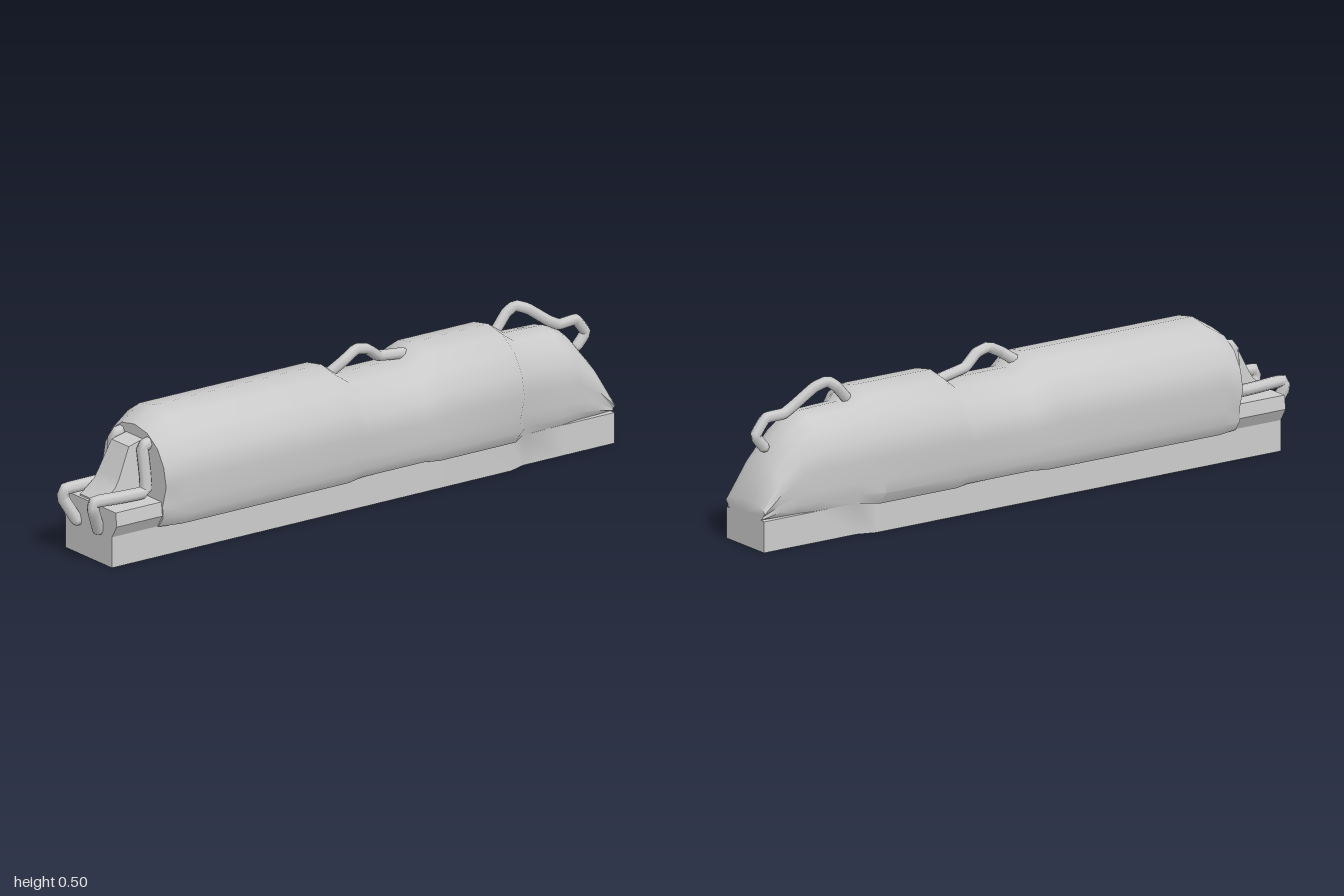
import * as THREE from 'three';
import { mergeVertices, toCreasedNormals } from 'three/addons/utils/BufferGeometryUtils.js';

const material = new THREE.MeshStandardMaterial({ color: 0xcccccc, side: THREE.DoubleSide });

// Skins mirrored half sections. Each section is { z, half: [[x, y], ...] }, bottom to top,
// and sections run from front to back.
function loft(sections, crease) {
  const rings = sections.map(({ z, half }) => {
    const mirrored = half.filter(([x]) => x > 0).reverse().map(([x, y]) => [-x, y]);
    return [...half, ...mirrored].map(([x, y]) => [x, y, z]);
  });
  const n = rings[0].length;
  const positions = rings.flat(2);
  const index = [];
  for (let i = 0; i < rings.length - 1; i++) {
    for (let j = 0; j < n; j++) {
      const a = i * n + j, b = i * n + (j + 1) % n;
      index.push(a, a + n, b, b, a + n, b + n);
    }
  }
  // End caps
  [0, rings.length - 1].forEach((r) => {
    const centre = positions.length / 3;
    const y = rings[r].reduce((sum, p) => sum + p[1], 0) / n;
    positions.push(0, y, rings[r][0][2]);
    for (let j = 0; j < n; j++) {
      const a = r * n + j, b = r * n + (j + 1) % n;
      if (r === 0) index.push(centre, a, b);
      else index.push(centre, b, a);
    }
  });
  const geometry = new THREE.BufferGeometry();
  geometry.setAttribute('position', new THREE.Float32BufferAttribute(positions, 3));
  geometry.setIndex(index);
  return toCreasedNormals(mergeVertices(geometry), crease);
}

function addMesh(parent, name, geometry) {
  const mesh = new THREE.Mesh(geometry, material);
  mesh.name = name;
  parent.add(mesh);
  return mesh;
}

// A bent pipe with closed ends
function addPipe(parent, name, points, radius) {
  const group = new THREE.Group();
  group.name = name;
  const path = points.map((p) => new THREE.Vector3(...p));
  const curve = new THREE.CatmullRomCurve3(path, false, 'catmullrom', 0.15);
  addMesh(group, 'pipe', new THREE.TubeGeometry(curve, points.length * 5, radius, 7));
  [path[0], path[path.length - 1]].forEach((p) => {
    addMesh(group, 'pipeEnd', new THREE.SphereGeometry(radius, 7, 4)).position.copy(p);
  });
  parent.add(group);
}

// Body outline above the keel: fraction of half width, fraction of height
const outline = [
  [0.76, 0], [0.905, 0.115], [0.885, 0.235], [1, 0.46], [0.92, 0.665],
  [0.72, 0.84], [0.395, 0.96], [0, 1],
];

function bodySection([z, width, top, keel]) {
  const upper = outline.map(([u, v]) => [u * width, 0.1 + v * (top - 0.1)]);
  return { z, half: [[keel, 0], [keel, 0.1], ...upper] };
}

export function createModel() {
  const model = new THREE.Group();
  model.name = 'segmentedBody';

  // Long body with two swollen segments and a sloping tail: z, half width, top, keel half width
  const body = [
    [0.765, 0.165, 0.4, 0.12],
    [0.69, 0.19, 0.447, 0.12],
    [0.05, 0.19, 0.447, 0.12],
    [-0.01, 0.165, 0.405, 0.12],
    [-0.25, 0.165, 0.405, 0.12],
    [-0.3, 0.19, 0.447, 0.12],
    [-0.59, 0.19, 0.447, 0.12],
    [-0.65, 0.135, 0.405, 0.1],
    [-0.8, 0.13, 0.4, 0.1],
    [-0.86, 0.115, 0.37, 0.1],
    [-0.94, 0.11, 0.27, 0.1],
    [-1, 0.104, 0.15, 0.1],
  ];
  addMesh(model, 'body', loft(body.map(bodySection), 0.9));

  // Low ledge at the front
  const ledge = [[0.12, 0], [0.12, 0.1], [0.145, 0.14], [0.14, 0.185], [0, 0.185]];
  addMesh(model, 'frontLedge', loft([0.94, 0.74].map((z) => ({ z, half: ledge })), 0.5));

  // Sloping hump on the ledge: z, top, half width at top
  const hump = [[0.93, 0.19, 0.058], [0.88, 0.23, 0.056], [0.865, 0.255, 0.055],
    [0.82, 0.35, 0.045], [0.74, 0.37, 0.043]];
  addMesh(model, 'frontHump', loft(hump.map(([z, top, w]) => (
    { z, half: [[0.06, 0.18], [w, top], [0, top]] })), 0.8));

  // Bent pipes either side of the hump
  [1, -1].forEach((side) => {
    const points = [[0.07, 0.36, 0.75], [0.073, 0.35, 0.79], [0.088, 0.21, 0.79],
      [0.076, 0.21, 0.975], [0.078, 0.18, 0.98], [0.055, 0.11, 0.945]];
    addPipe(model, side > 0 ? 'leftFrontPipe' : 'rightFrontPipe',
      points.map(([x, y, z]) => [x * side, y, z]), 0.02);
  });

  // Pipes bridging the waist and the tail
  addPipe(model, 'waistPipe', [[0.008, 0.415, 0.03], [0.02, 0.45, -0.02], [0.015, 0.475, -0.07],
    [0.01, 0.465, -0.12], [0, 0.43, -0.17], [-0.01, 0.415, -0.27]], 0.018);
  addPipe(model, 'tailPipe', [[-0.012, 0.405, -0.62], [-0.018, 0.46, -0.67], [-0.012, 0.48, -0.7],
    [0, 0.465, -0.74], [0.012, 0.415, -0.81], [0.012, 0.395, -0.85], [0.005, 0.395, -0.92],
    [0.003, 0.345, -0.96], [0, 0.305, -0.93]], 0.018);

  return model;
}
